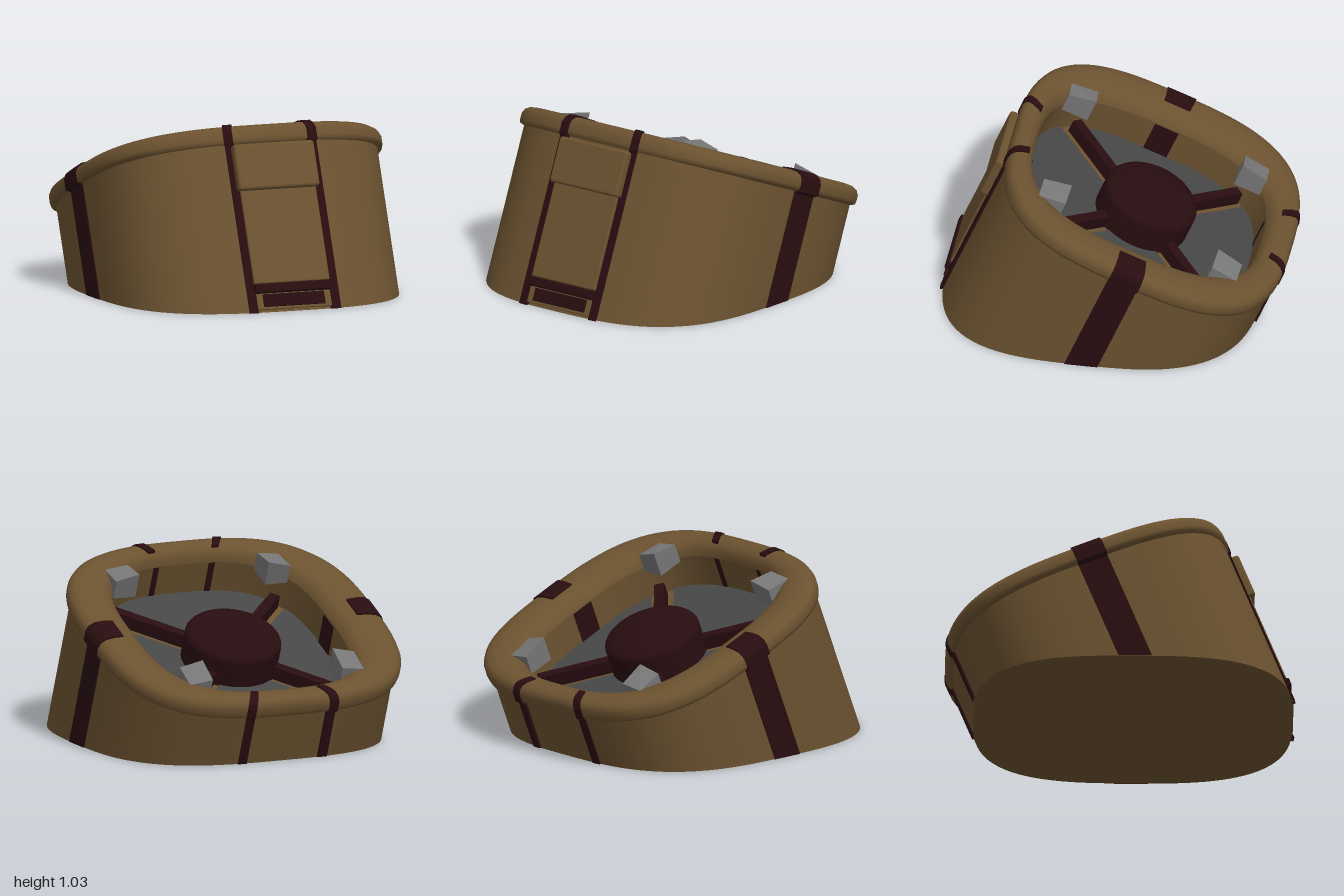
import * as THREE from 'three';
import { RoundedBoxGeometry } from 'three/addons/geometries/RoundedBoxGeometry.js';
import { ConvexGeometry } from 'three/addons/geometries/ConvexGeometry.js';

const TILT = THREE.MathUtils.degToRad(22);
const FLOOR = 0.45;      // height of the inner floor in the tilted frame
const WALL = 0.12;       // how far the wall sits in from the rim's outer edge
const CENTRE = 0.08;

const mat = (name, color) => {
  const m = new THREE.MeshStandardMaterial({ color, side: THREE.DoubleSide });
  m.name = name;
  return m;
};

// Rounded-square outline: f = 0 is the rim's outer edge, f = 1 its inner edge
function outline(t, f) {
  const c = Math.cos(t), s = Math.sin(t);
  const r = 1 / Math.cbrt(Math.abs(c) ** 3 + Math.abs(s) ** 3);
  const mix = (a, b) => a + (b - a) * f;
  return [mix(0.9, 0.62) * r * c, mix(0.079, 0.095) + mix(0.868, 0.705) * r * s];
}

// Sweep a profile of [f, height] round the outline; height null means the ground plane
function sweep(profile, t0, t1, segs, edged = false) {
  const full = t1 - t0 > 6.28;
  const rows = [];
  for (let i = 0; i < (full ? segs : segs + 1); i++) rows.push([t0 + (t1 - t0) * i / segs, profile]);
  if (edged) {
    const sunk = profile.map(([f, h]) => [f + (0.5 - f) * 0.25, h > 0.7 ? h - 0.03 : h]);
    rows.unshift([t0, sunk]);
    rows.push([t1, sunk]);
  }
  const pos = [], index = [], n = profile.length;
  for (const [t, prof] of rows) {
    for (const [f, h] of prof) {
      const [x, v] = outline(t, f);
      pos.push(x, h === null ? -v * Math.tan(TILT) : h, v);
    }
  }
  const count = full ? rows.length : rows.length - 1;
  for (let i = 0; i < count; i++) {
    const k = (i + 1) % rows.length;
    for (let j = 0; j < n - 1; j++) {
      const a = i * n + j, b = a + 1, c = k * n + j, d = c + 1;
      index.push(a, b, c, b, d, c);
    }
  }
  let g = new THREE.BufferGeometry();
  g.setAttribute('position', new THREE.Float32BufferAttribute(pos, 3));
  g.setIndex(index);
  if (edged) g = g.toNonIndexed();
  g.computeVertexNormals();
  return g;
}

export function createModel() {
  const tan = mat('tan shell', 0x6b5230);
  const maroon = mat('dark maroon', 0x280d10);
  const grey = mat('dark grey', 0x464646);
  const steel = mat('light grey', 0x767676);

  const model = new THREE.Group();
  const body = new THREE.Group();   // tilted frame: y along the axis, z to the front
  body.name = 'tiltedBody';
  body.rotation.x = -TILT;
  model.add(body);

  const add = (name, geo, m, x = 0, y = 0, z = 0, parent = body) => {
    const mesh = new THREE.Mesh(geo, m);
    mesh.name = name;
    mesh.position.set(x, y, z);
    parent.add(mesh);
    return mesh;
  };
  const TAU = Math.PI * 2;

  // Shell: outer wall, rounded rim and inner wall
  add('outerWall', sweep([[WALL, null], [WALL, 0.64]], 0, TAU, 128), tan);
  add('rim', sweep([[WALL, 0.62], [0.02, 0.63], [0, 0.65], [0, 0.685], [0.05, 0.712], [0.16, 0.73],
    [0.35, 0.736], [0.6, 0.732], [0.8, 0.718], [0.94, 0.69], [1, 0.65]], 0, TAU, 128), tan);
  add('innerWall', sweep([[1, 0.65], [1, FLOOR]], 0, TAU, 128), tan);

  // Flat base lying on the ground
  const ring = (f, fn) => Array.from({ length: 128 }, (_, i) => {
    const [x, v] = outline(i / 128 * TAU, f);
    return fn(x, v);
  });
  const base = new THREE.ShapeGeometry(new THREE.Shape(
    ring(WALL, (x, v) => new THREE.Vector2(x, v / Math.cos(TILT)))));
  add('base', base, tan, 0, 0, 0, model).rotation.x = Math.PI / 2;

  // Inner floor
  const floor = new THREE.ShapeGeometry(new THREE.Shape(ring(1, (x, v) => new THREE.Vector2(x, -v))));
  add('innerFloor', floor, tan, 0, FLOOR, 0).rotation.x = -Math.PI / 2;

  // Four floor panels separated by diagonal gaps, with a raised spoke in each gap
  for (let k = 0; k < 4; k++) {
    const axis = k * Math.PI / 2, ca = Math.cos(axis), sa = Math.sin(axis), gap = 0.085;
    const pts = [new THREE.Vector2(ca * gap, -(CENTRE + sa * gap))];
    for (let i = -80; i <= 80; i++) {
      const [x, v] = outline(axis + i / 80, 1.01);
      const along = x * ca + (v - CENTRE) * sa, across = -x * sa + (v - CENTRE) * ca;
      if (along > Math.abs(across) + gap) pts.push(new THREE.Vector2(x, -v));
    }
    const panel = new THREE.ExtrudeGeometry(new THREE.Shape(pts), { depth: 0.009, bevelEnabled: false });
    add('floorPanel', panel, grey, 0, FLOOR, 0).rotation.x = -Math.PI / 2;

    const d = axis + Math.PI / 4, mid = 0.45;
    add('spoke', new THREE.BoxGeometry(0.54, 0.08, 0.06), maroon,
      Math.cos(d) * mid, FLOOR + 0.04, CENTRE + Math.sin(d) * mid).rotation.y = -d;
  }

  // Central dome
  const dome = [new THREE.Vector2(0.28, 0)];
  for (let i = 0; i <= 12; i++) {
    const a = i / 12 * Math.PI / 2;
    dome.push(new THREE.Vector2(0.28 * Math.cos(a), 0.16 + 0.1 * Math.sin(a)));
  }
  add('dome', new THREE.LatheGeometry(dome, 48), maroon, 0, FLOOR, 0.065);

  // Corner blocks, highest at the inner corner and sunk into the rim at the outer one
  for (const sx of [-1, 1]) {
    for (const sz of [-1, 1]) {
      const pts = [];
      for (const [x, v, top] of [[0.41, 0.46, 0.78], [0.55, 0.46, 0.745], [0.41, 0.62, 0.745], [0.55, 0.62, 0.725]]) {
        pts.push(new THREE.Vector3(sx * x, top, sz * v), new THREE.Vector3(sx * x, 0.63, sz * v));
      }
      add('cornerBlock', new ConvexGeometry(pts), steel, 0, 0, 0.09);
    }
  }

  // Straps: up the wall, over the rim, and down the inner wall
  const strap = (name, t0, t1, lift, reach) => {
    const wallF = WALL - lift;
    const e = -lift * 0.4;
    add(name + 'Wall', sweep([[wallF, null], [wallF, 0.64]], t0, t1, 4, true), maroon);
    add(name + 'Rim', sweep([[wallF, 0.61], [e, 0.625], [e, 0.69], [0.04, 0.72], [0.16, 0.741],
      [0.35, 0.746], [reach, 0.741], [reach + 0.02, 0.715]], t0, t1, 4, true), maroon);
    add(name + 'Inside', sweep([[1.03, 0.65], [1.03, FLOOR]], t0, t1, 4), maroon);
  };
  const near = Math.atan(0.258), far = Math.atan(0.322);
  for (const side of [1, -1]) {
    const front = Math.PI / 2, back = -Math.PI / 2;
    const [a, b] = side > 0 ? [near, far] : [-far, -near];
    strap('frontStrap', front + a, front + b, 0.1, 0.72);
    strap('backStrap', back + a, back + b, 0.07, 0.62);
    const c = side > 0 ? 0 : Math.PI;
    strap('sideStrap', c - 0.104, c + 0.104, 0.025, 0.57);
  }

  // Front clasp: from [half width, bottom, top, front face]
  const plate = (name, hw, y0, y1, z1, m, r = 0.01) =>
    add(name, new RoundedBoxGeometry(hw * 2, y1 - y0, z1 - 0.89, 3, r), m, 0, (y0 + y1) / 2, (z1 + 0.89) / 2);
  plate('claspFlap', 0.25, 0.34, 0.61, 0.985, tan, 0.018);
  plate('claspPlate', 0.235, -0.21, 0.345, 0.952, tan);
  plate('claspBar', 0.235, -0.265, -0.21, 0.965, maroon);
  plate('claspFoot', 0.235, -0.36, -0.262, 0.938, tan, 0.004);
  plate('claspInset', 0.19, -0.345, -0.27, 0.944, maroon, 0.003);

  return model;
}
